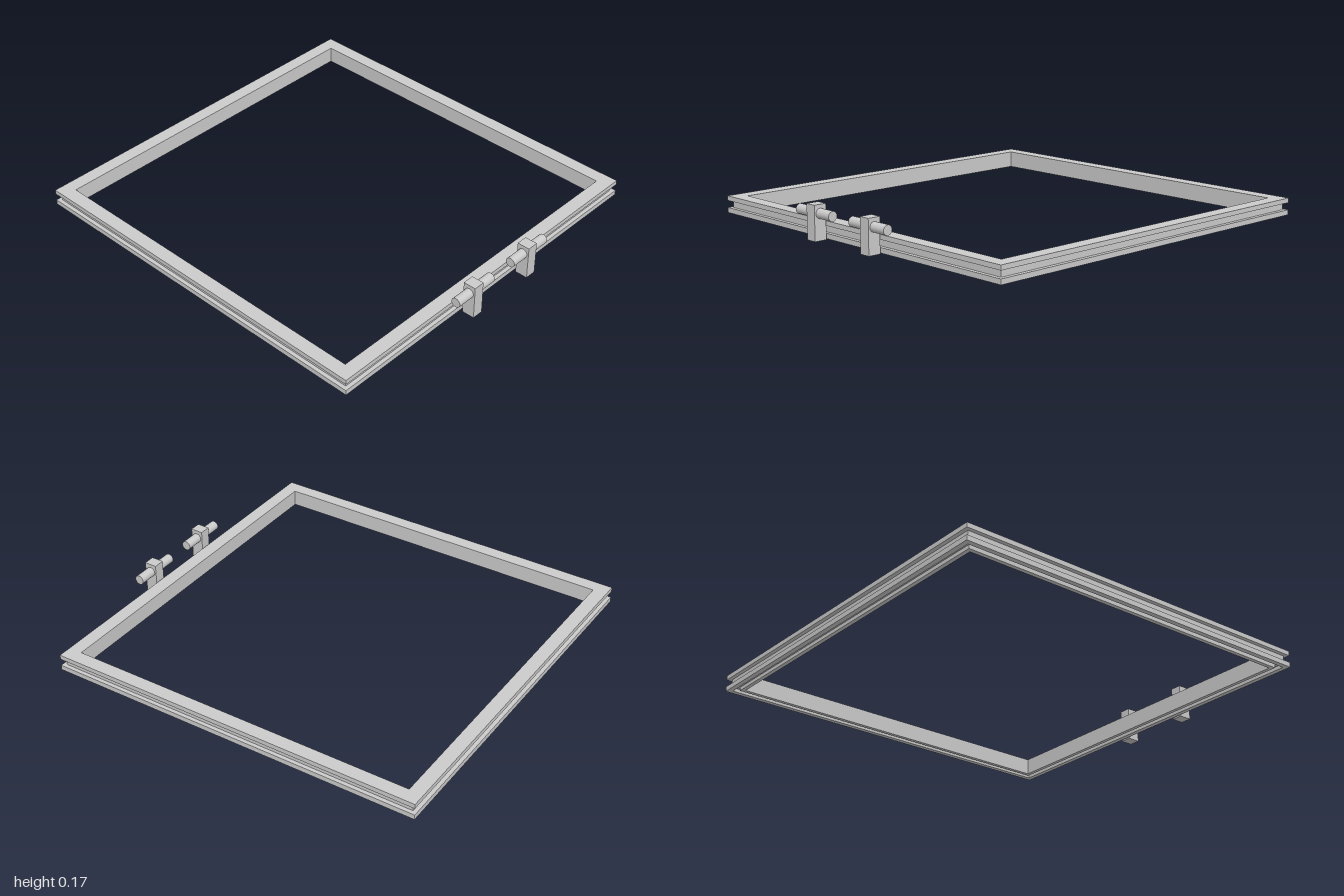
import * as THREE from 'three';

const material = new THREE.MeshStandardMaterial({ color: 0xcccccc });

// Rail cross-section as [inset from outer edge, height]
const PROFILE = [
  [0, 0], [0, 0.025], [0.02, 0.025], [0.02, 0.06], [0, 0.06], [0, 0.083],
  [0.07, 0.083], [0.07, 0], [0.05, 0], [0.05, 0.018], [0.025, 0.018], [0.025, 0],
];

// Sweeps the profile round a rectangle with mitred corners
function frameGeometry(halfX, halfZ, centreZ) {
  const corners = [[-1, 1], [1, 1], [1, -1], [-1, -1]];
  const at = ([sx, sz], [inset, y]) => [sx * (halfX - inset), y, centreZ + sz * (halfZ - inset)];
  const positions = [];
  corners.forEach((c, i) => {
    const next = corners[(i + 1) % 4];
    PROFILE.forEach((p, j) => {
      const q = PROFILE[(j + 1) % PROFILE.length];
      const a = at(c, p), b = at(next, p), d = at(next, q), e = at(c, q);
      positions.push(...a, ...b, ...d, ...a, ...d, ...e);
    });
  });
  const geometry = new THREE.BufferGeometry();
  geometry.setAttribute('position', new THREE.Float32BufferAttribute(positions, 3));
  geometry.computeVertexNormals();
  return geometry;
}

function addMesh(parent, name, geometry, x = 0, y = 0, z = 0) {
  const mesh = new THREE.Mesh(geometry, material);
  mesh.name = name;
  mesh.position.set(x, y, z);
  parent.add(mesh);
  return mesh;
}

export function createModel() {
  const model = new THREE.Group();
  model.name = 'grooveFrame';

  // Square frame with a groove round the outside and underneath
  addMesh(model, 'frame', frameGeometry(0.96, 0.9615, -0.0385));

  // Two upright posts in front of the frame, each with a cross pin
  for (const side of [-1, 1]) {
    const handle = new THREE.Group();
    handle.name = side > 0 ? 'leftHandle' : 'rightHandle';
    handle.position.set(side * 0.19, 0, 0.968);
    addMesh(handle, 'post', new THREE.BoxGeometry(0.057, 0.168, 0.064), 0, 0.084, 0);
    const pin = addMesh(handle, 'pin', new THREE.CylinderGeometry(0.024, 0.024, 0.24, 32), 0, 0.126, 0);
    pin.rotation.z = Math.PI / 2;
    model.add(handle);
  }
  return model;
}
